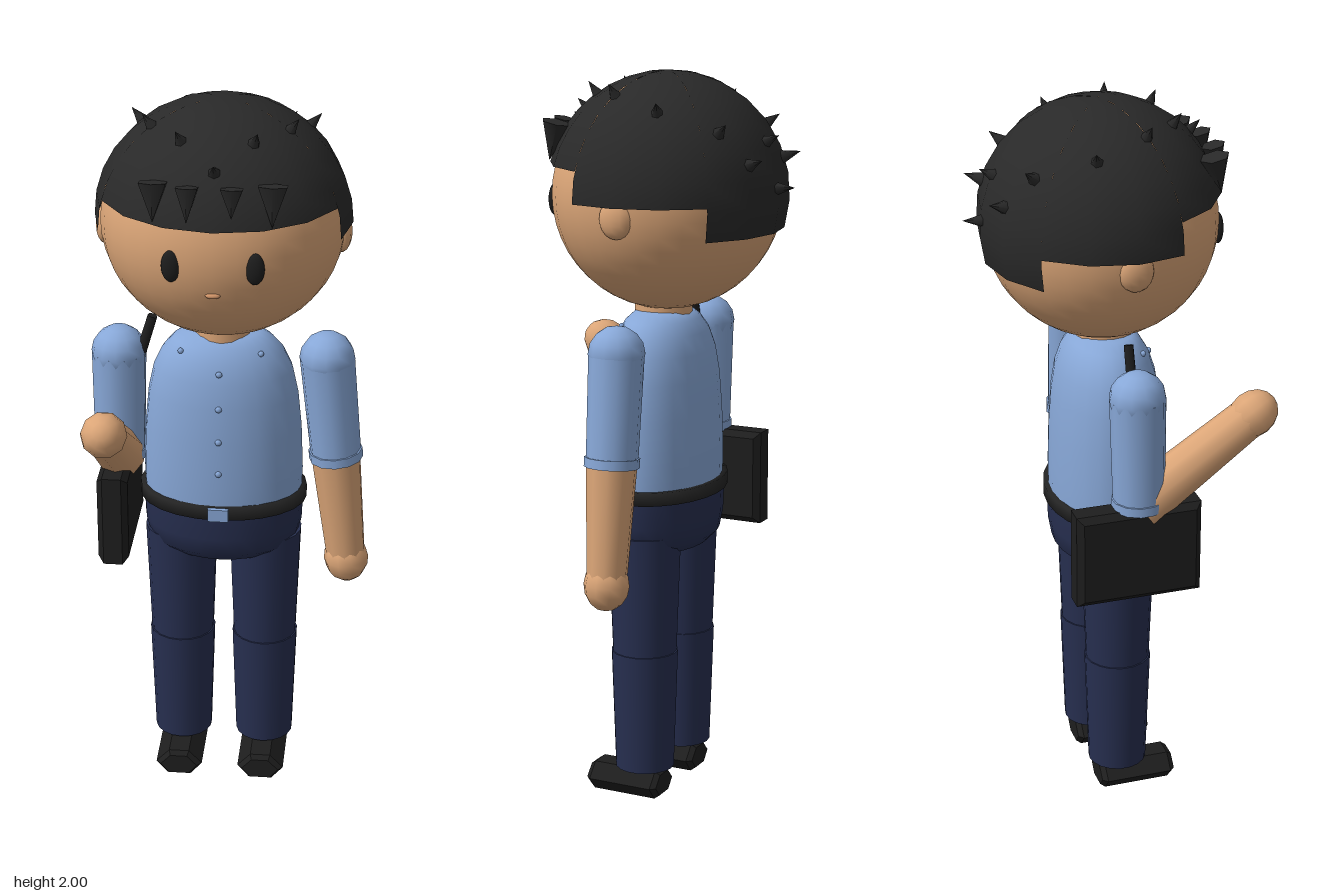
import * as THREE from 'three';

const V = (x, y, z) => new THREE.Vector3(x, y, z);
const UP = V(0, 1, 0);
const CX = -0.024; // body centre line

export function createModel() {
  const model = new THREE.Group();
  model.name = 'officer';

  const mat = (name, color, side = THREE.FrontSide) => {
    const m = new THREE.MeshStandardMaterial({ color, side });
    m.name = name;
    return m;
  };
  const skin = mat('skin', 0xdca678);
  const lip = mat('lip', 0xd4976a);
  const hair = mat('hair', 0x292929, THREE.DoubleSide);
  const black = mat('black', 0x1e1e1e);
  const belt = mat('belt', 0x242424);
  const shirt = mat('shirt', 0x88a8d8);
  const navy = mat('navy', 0x272f50);

  const add = (name, geo, material, pos = V(0, 0, 0), parent = model) => {
    const mesh = new THREE.Mesh(geo, material);
    mesh.name = name;
    mesh.position.copy(pos);
    parent.add(mesh);
    return mesh;
  };
  const ball = (name, material, pos, r, w = 16, h = 12) => {
    const mesh = add(name, new THREE.SphereGeometry(1, w, h), material, pos);
    mesh.scale.copy(r);
    return mesh;
  };
  // Tapered cylinder running from a to b
  const limb = (name, material, a, b, ra, rb, sides = 14) => {
    const d = b.clone().sub(a);
    const mesh = add(name, new THREE.CylinderGeometry(rb, ra, d.length(), sides), material,
      a.clone().add(b).multiplyScalar(0.5));
    mesh.quaternion.setFromUnitVectors(UP, d.normalize());
    return mesh;
  };
  const lathe = (name, material, profile, depth) => {
    const geo = new THREE.LatheGeometry(profile.map(([x, y]) => new THREE.Vector2(x, y)), 24);
    const mesh = add(name, geo, material, V(CX, 0, -0.005));
    mesh.scale.z = depth;
    return mesh;
  };

  // Head, ears and face
  const headPos = V(CX, 1.675, -0.018);
  ball('head', skin, headPos, V(0.322, 0.311, 0.308), 32, 24);
  for (const s of [-1, 1]) {
    ball('ear', skin, V(CX + s * 0.31, 1.642, -0.02), V(0.027, 0.054, 0.047), 12, 10);
    ball('eye', black, V(CX + s * 0.106, 1.653, 0.269), V(0.025, 0.043, 0.014));
  }
  ball('mouth', lip, V(CX, 1.577, 0.272), V(0.02, 0.008, 0.01), 12, 8);

  // Hair cap in four sectors, longer towards the back
  const hairR = V(0.339, 0.325, 0.323);
  const step = Math.PI / 8;
  const sectors = [[1, 6, 1.756], [7, 3, 1.672], [10, 4, 1.583], [14, 3, 1.672]];
  for (const [first, count, bottom] of sectors) {
    const drop = Math.acos((bottom - headPos.y) / hairR.y);
    const geo = new THREE.SphereGeometry(1, count, 8, first * step, count * step, 0, drop);
    add('hairCap', geo, hair, headPos).scale.copy(hairR);
  }

  // Short spikes standing out from the hair
  const spike = (x, y, z, r, h) => {
    const dir = V(x, y, z).normalize();
    const mesh = add('hairSpike', new THREE.ConeGeometry(r, h, 6), hair,
      V(x, y, z).add(headPos).addScaledVector(dir, h * 0.3));
    mesh.quaternion.setFromUnitVectors(UP, dir);
  };
  const spots = [[0.155, -0.222], [0.222, -0.077], [0.178, 0.067], [0.092, 0.165], [0, 0.243], [0, -0.287]];
  for (const [x, z] of spots) {
    const y = hairR.y * Math.sqrt(1 - (x / hairR.x) ** 2 - (z / hairR.z) ** 2);
    for (const s of x ? [-1, 1] : [1]) spike(s * x, y, z, 0.019, 0.048);
  }
  spike(0, 0.028, -0.32, 0.02, 0.06);
  for (const s of [-1, 1]) spike(s * 0.112, 0.1, -0.29, 0.02, 0.056);

  // Fringe points hanging over the forehead
  for (const [x, z, r, h] of [[-0.152, 0.25, 0.04, 0.1], [-0.064, 0.277, 0.032, 0.09],
    [0.048, 0.277, 0.032, 0.075], [0.148, 0.25, 0.042, 0.105]]) {
    const cone = add('fringePoint', new THREE.ConeGeometry(r, h, 6), hair, V(CX + x, 1.865 - h / 2, z));
    cone.rotation.x = Math.PI - 0.22;
  }

  // Neck, shirt, belt and hips
  limb('neck', skin, V(CX, 1.3, -0.005), V(CX, 1.42, -0.005), 0.078, 0.078, 16);
  lathe('shirtBody', shirt, [[0.215, 0.87], [0.218, 0.95], [0.213, 1.08], [0.203, 1.18], [0.188, 1.25],
    [0.165, 1.3], [0.135, 1.335], [0.1, 1.358], [0, 1.368]], 0.69);
  lathe('belt', belt, [[0.2, 0.86], [0.23, 0.86], [0.23, 0.896], [0.2, 0.896]], 0.71);
  add('buckle', new THREE.BoxGeometry(0.056, 0.036, 0.012), shirt, V(CX, 0.878, 0.16));
  lathe('hips', navy, [[0, 0.688], [0.1, 0.69], [0.165, 0.71], [0.204, 0.738], [0.217, 0.79], [0.22, 0.865]], 0.7);

  // Shirt buttons
  for (const [y, z] of [[1.28, 0.119], [1.185, 0.136], [1.09, 0.143], [0.995, 0.145]])
    ball('shirtButton', shirt, V(CX, y, z), V(0.009, 0.009, 0.007), 8, 6);
  for (const s of [-1, 1])
    ball('shoulderButton', shirt, V(CX + s * 0.107, 1.322, 0.068), V(0.008, 0.008, 0.008), 8, 6);

  // Arms: the left one hangs, the right forearm reaches forward
  const arm = (shoulder, elbow, hand) => {
    const dir = elbow.clone().sub(shoulder).normalize();
    const reach = hand.clone().sub(elbow).normalize();
    ball('shoulder', shirt, shoulder, V(0.075, 0.074, 0.076), 12, 8);
    limb('sleeve', shirt, shoulder, elbow, 0.074, 0.069, 12);
    limb('sleeveCuff', shirt, elbow.clone().addScaledVector(dir, -0.026), elbow, 0.074, 0.074, 12);
    limb('forearm', skin, elbow, hand.clone().addScaledVector(reach, -0.02), 0.068, 0.055, 10);
    const palm = ball('hand', skin, hand, V(0.062, 0.07, 0.062), 10, 8);
    palm.quaternion.setFromUnitVectors(UP, reach);
  };
  arm(V(0.255, 1.284, -0.005), V(0.285, 0.985, -0.005), V(0.319, 0.67, -0.005));
  arm(V(-0.306, 1.28, -0.005), V(-0.308, 0.97, 0), V(-0.305, 1.19, 0.315));

  // Chamfered case on the right hip, with its thin aerial
  const caseShape = new THREE.Shape();
  const [w, h] = [0.155, 0.115];
  caseShape.moveTo(-w, -h).lineTo(w, -h).lineTo(w, h).lineTo(-w, h).closePath();
  const caseGeo = new THREE.ExtrudeGeometry(caseShape, {
    depth: 0.052, bevelEnabled: true, bevelSize: 0.017, bevelThickness: 0.016, bevelSegments: 1 });
  caseGeo.translate(0, 0, -0.026).rotateY(Math.PI / 2);
  add('hipCase', caseGeo, black, V(-0.313, 0.842, -0.009));
  limb('aerial', black, V(-0.285, 1.15, 0), V(-0.213, 1.39, 0), 0.015, 0.013, 8);

  // Legs and shoes
  const sole = new THREE.Shape();
  sole.moveTo(-0.028, 0.012).lineTo(0.028, 0.012).lineTo(0.052, 0.04)
    .lineTo(0.024, 0.07).lineTo(-0.024, 0.07).lineTo(-0.052, 0.04).closePath();
  const shoeGeo = new THREE.ExtrudeGeometry(sole, {
    depth: 0.186, bevelEnabled: true, bevelSize: 0.01, bevelThickness: 0.014, bevelSegments: 1 });
  shoeGeo.translate(0, 0, -0.05);
  for (const s of [-1, 1]) {
    const x = CX + s * 0.117;
    limb('thigh', navy, V(x, 0.42, -0.005), V(x, 0.76, -0.005), 0.088, 0.1, 18);
    limb('shin', navy, V(x, 0.087, -0.005), V(x, 0.425, -0.005), 0.081, 0.092, 18);
    add('shoe', shoeGeo, black, V(x, 0, 0));
  }
  return model;
}
